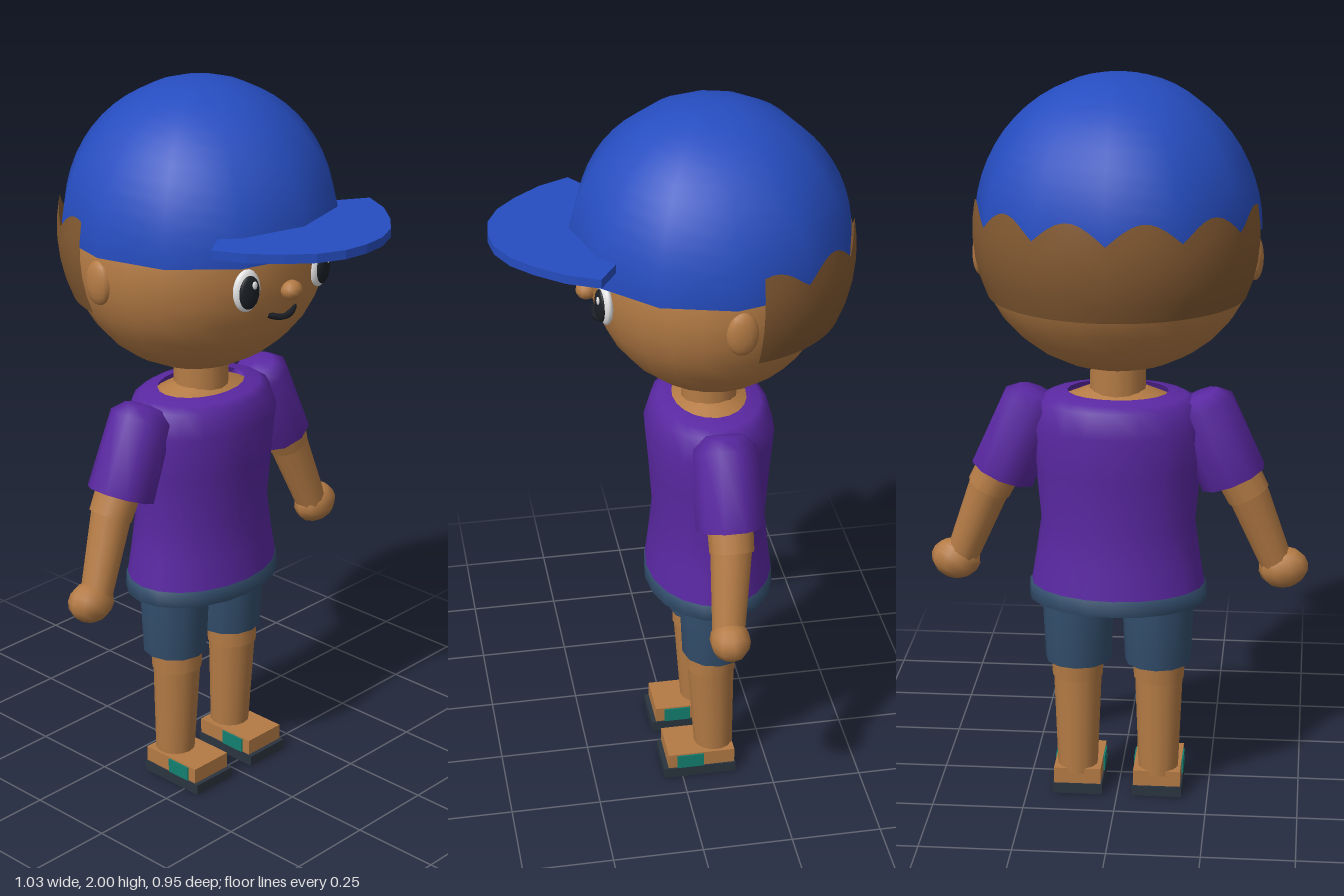
import * as THREE from 'three';

const mat = (name, color, side = THREE.FrontSide) => {
  const m = new THREE.MeshStandardMaterial({ color, side });
  m.name = name;
  return m;
};

export function createModel() {
  const D = THREE.DoubleSide;
  const skin = mat('skin', 0xb47b45), hairBrown = mat('hair brown', 0x845a32, D);
  const blue = mat('cap blue', 0x264dc0, D), purple = mat('shirt purple', 0x5a28a2, D);
  const denim = mat('denim', 0x34506f, D), rubber = mat('dark sole', 0x2a343f);
  const teal = mat('strap teal', 0x128070), white = mat('eye white', 0xf0f0f0);
  const dark = mat('eye dark', 0x1c2026);

  const model = new THREE.Group();
  model.name = 'boyWithCap';
  const CZ = -0.1; // depth of the body axis

  const add = (name, geo, material, x = 0, y = 0, z = 0, parent = model) => {
    const m = new THREE.Mesh(geo, material);
    m.name = name;
    m.position.set(x, y, z);
    parent.add(m);
    return m;
  };
  const ellipsoid = (rx, ry, rz, w = 24, h = 16) => new THREE.SphereGeometry(1, w, h).scale(rx, ry, rz);
  const lathe = (pts, seg) => new THREE.LatheGeometry(pts.map(p => new THREE.Vector2(p[0], p[1])), seg);
  // tapered limb between two points
  const limb = (name, a, b, ra, rb, seg, material) => {
    const A = new THREE.Vector3(...a), B = new THREE.Vector3(...b);
    const m = add(name, new THREE.CylinderGeometry(ra, rb, A.distanceTo(B), seg), material);
    m.position.copy(A).add(B).multiplyScalar(0.5);
    m.quaternion.setFromUnitVectors(new THREE.Vector3(0, 1, 0), A.clone().sub(B).normalize());
    return m;
  };

  // Head and neck
  add('head', ellipsoid(0.365, 0.33, 0.32), skin, 0, 1.55, CZ);
  add('neck', new THREE.CylinderGeometry(0.073, 0.077, 0.16, 14), skin, 0, 1.18, CZ);
  add('nose', ellipsoid(0.031, 0.026, 0.028, 12, 8), skin, 0, 1.5, 0.226);

  // Smile
  const smile = new THREE.QuadraticBezierCurve3(
    new THREE.Vector3(-0.05, 1.437, 0.189), new THREE.Vector3(0, 1.411, 0.222), new THREE.Vector3(0.05, 1.437, 0.189));
  add('mouth', new THREE.TubeGeometry(smile, 12, 0.009, 6), dark);

  // Cap: coarse dome with a flat brim
  add('capDome', new THREE.SphereGeometry(1, 12, 14, 0, Math.PI * 2, 0, Math.PI / 2).scale(0.375, 0.4, 0.375),
    blue, 0, 1.602, CZ).scale.y = 0.995;
  const half = [[0.07, 0.467], [0.14, 0.435], [0.2, 0.382], [0.26, 0.31], [0.3, 0.228], [0.2, 0.165]];
  const outline = [[0, 0.475], ...half, ...half.slice().reverse().map(([x, z]) => [-x, z])];
  const brim = new THREE.ExtrudeGeometry(
    new THREE.Shape(outline.map(([x, z]) => new THREE.Vector2(x, -z))), { depth: 0.024, bevelEnabled: false });
  add('capBrim', brim.rotateX(-Math.PI / 2), blue, 0, 1.656, 0);

  // Hair: curved sheet around the back with a scalloped upper edge
  const hair = new THREE.PlaneGeometry(1, 1, 48, 5);
  const hp = hair.attributes.position;
  for (let i = 0; i < hp.count; i++) {
    const a = THREE.MathUtils.degToRad(10.5 + 159 * (hp.getX(i) + 0.5));
    const top = 1.63 + 0.055 * Math.abs(Math.sin(6 * a));
    const y = THREE.MathUtils.lerp(1.428, top, hp.getY(i) + 0.5);
    const r = 0.378 * Math.sqrt(1 - ((y - 1.6) / 0.4) ** 2);
    hp.setXYZ(i, r * Math.cos(a), y, CZ - r * Math.sin(a));
  }
  hair.computeVertexNormals();
  add('hair', hair, hairBrown);

  // Shirt, collar skin, waistband and hips
  add('shirt', lathe([[0.236, 0.615], [0.222, 0.7], [0.208, 0.8], [0.222, 0.95], [0.236, 1.07],
    [0.212, 1.135], [0.185, 1.15], [0.135, 1.158]], 20).scale(1, 1, 0.74), purple, 0, 0, CZ);
  add('upperChest', new THREE.CylinderGeometry(0.08, 0.15, 0.03, 20).scale(1, 1, 0.76), skin, 0, 1.152, CZ);
  add('waistband', lathe([[0.222, 0.578], [0.242, 0.578], [0.24, 0.622], [0.222, 0.622]], 20)
    .scale(1, 1, 0.73), denim, 0, 0, CZ);
  add('hips', new THREE.CylinderGeometry(0.222, 0.222, 0.03, 20).scale(1, 1, 0.73), skin, 0, 0.6, CZ);

  for (const s of [1, -1]) {
    const side = s > 0 ? 'left' : 'right';

    // Face details
    add(side + 'Ear', ellipsoid(0.022, 0.06, 0.042, 14, 10), skin, s * 0.358, 1.528, -0.115);
    const eye = new THREE.Group();
    eye.name = side + 'Eye';
    eye.position.set(s * 0.138, 1.526, 0.197);
    eye.rotation.y = s * 0.2;
    model.add(eye);
    add('eyeWhite', ellipsoid(0.041, 0.057, 0.018, 20, 12), white, 0, 0, 0, eye);
    add('pupil', ellipsoid(0.031, 0.045, 0.012, 20, 12), dark, 0, -0.002, 0.012, eye);
    add('glint', ellipsoid(0.008, 0.011, 0.004, 10, 8), white, 0.01, 0.018, 0.022, eye);
    const brow = add(side + 'Brow', new THREE.BoxGeometry(0.07, 0.014, 0.012), dark, s * 0.148, 1.609, 0.196);
    brow.rotation.y = s * 0.45;

    // Arm: domed sleeve, arm, hand
    const sleeve = add(side + 'Sleeve',
      lathe([[0.06, -0.215], [0.092, -0.215], [0.085, 0], [0.052, 0.03], [0, 0.034]], 10),
      purple, s * 0.227, 1.122, CZ);
    sleeve.rotation.z = s * 0.39;
    limb(side + 'UpperArm', [s * 0.25, 1.07, CZ], [s * 0.35, 0.875, -0.098], 0.066, 0.06, 12, skin);
    limb(side + 'Forearm', [s * 0.342, 0.895, -0.098], [s * 0.43, 0.67, -0.076], 0.057, 0.044, 12, skin);
    const hand = add(side + 'Hand', ellipsoid(0.068, 0.056, 0.054, 10, 8), skin, s * 0.447, 0.662, -0.077);
    hand.rotation.z = s * 0.2;

    // Leg: short, thigh, shin
    add(side + 'ShortLeg', lathe([[0.07, 0.392], [0.09, 0.392], [0.1, 0.6]], 12), denim, s * 0.109, 0, CZ);
    limb(side + 'Thigh', [s * 0.112, 0.58, CZ], [s * 0.112, 0.34, -0.09], 0.075, 0.07, 14, skin);
    limb(side + 'Shin', [s * 0.112, 0.36, -0.09], [s * 0.112, 0.06, CZ], 0.067, 0.055, 14, skin);

    // Sandal: sole, foot, side strap, inset under the sole
    add(side + 'Sole', new THREE.BoxGeometry(0.138, 0.03, 0.206), rubber, s * 0.11, 0.017, -0.05);
    add(side + 'SoleInset', new THREE.BoxGeometry(0.128, 0.006, 0.196), skin, s * 0.11, 0.003, -0.05);
    add(side + 'Foot', new THREE.BoxGeometry(0.13, 0.045, 0.19), skin, s * 0.11, 0.054, -0.055);
    add(side + 'Strap', new THREE.BoxGeometry(0.138, 0.041, 0.075), teal, s * 0.11, 0.0525, -0.023);
  }
  return model;
}
